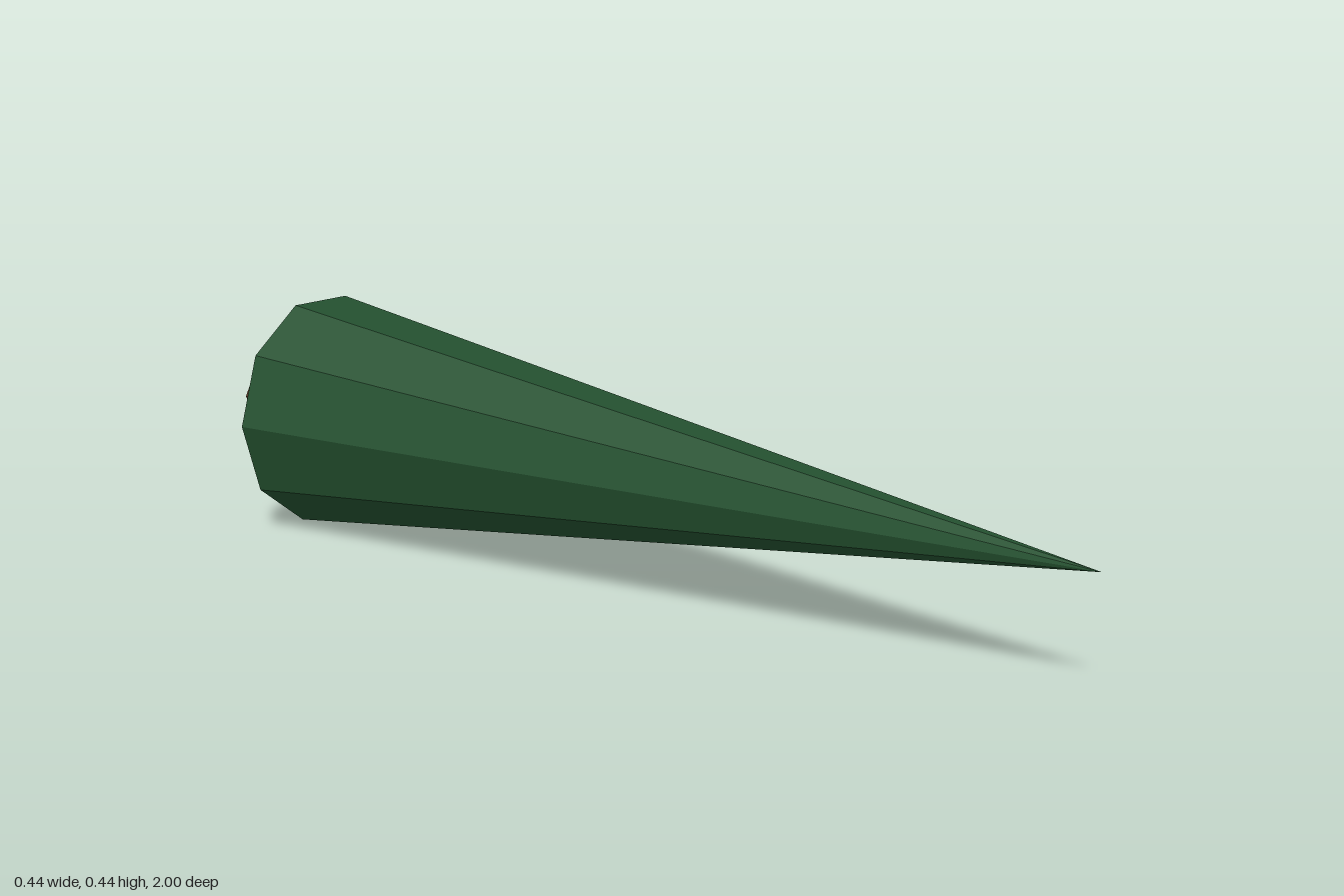
import * as THREE from 'three';

const foliageGreen = new THREE.MeshStandardMaterial({ color: 0x23502f, flatShading: true });
foliageGreen.name = 'foliage green';
const barkBrown = new THREE.MeshStandardMaterial({ color: 0x4f321c, flatShading: true });
barkBrown.name = 'bark brown';

const AXIS_Y = 0.222;
const SQUASH_X = 0.947; // slightly narrower than tall

// Tapered prism lying along z, from zBack to zFront, with corners on the x axis
function lyingPart(name, rFront, rBack, sides, zBack, zFront, material) {
  const geometry = new THREE.CylinderGeometry(
    rFront, rBack, zFront - zBack, sides, 1, false, Math.PI / 2);
  geometry.rotateX(Math.PI / 2);
  geometry.scale(SQUASH_X, 1, 1);
  const mesh = new THREE.Mesh(geometry, material);
  mesh.name = name;
  mesh.position.set(0, AXIS_Y, (zBack + zFront) / 2);
  return mesh;
}

export function createModel() {
  const model = new THREE.Group();
  model.name = 'fallenConifer';
  // Ten-sided cone of foliage, tip to the front
  model.add(lyingPart('foliage', 0, 0.2335, 10, -0.8, 1, foliageGreen));
  // Short six-sided trunk behind it
  model.add(lyingPart('trunk', 0.035, 0.035, 6, -1, -0.8, barkBrown));
  return model;
}
